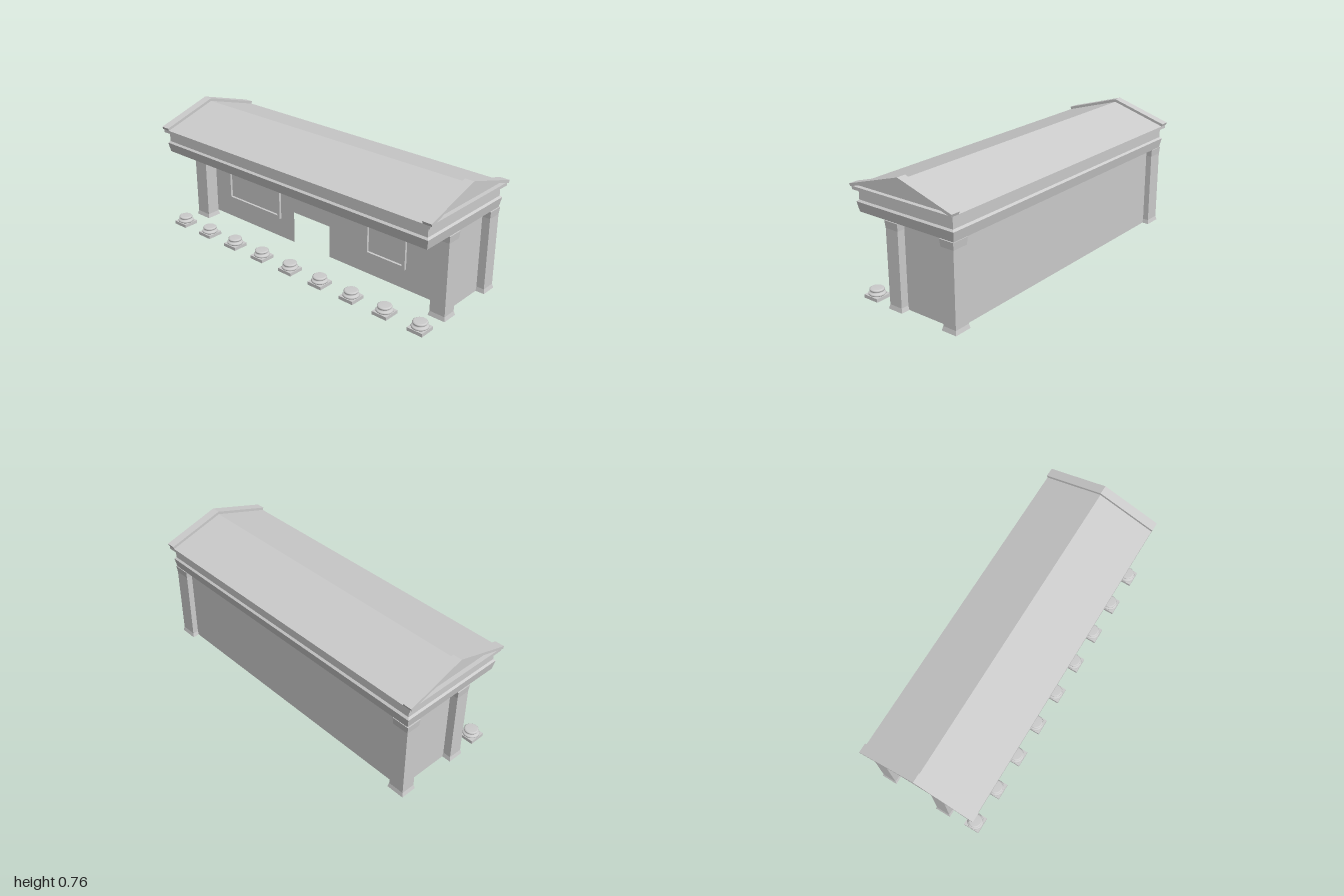
import * as THREE from 'three';

const mat = new THREE.MeshStandardMaterial({ color: 0xcccccc, side: THREE.DoubleSide });

function add(parent, name, geometry, x = 0, y = 0, z = 0) {
  const mesh = new THREE.Mesh(geometry, mat);
  mesh.name = name;
  mesh.position.set(x, y, z);
  parent.add(mesh);
  return mesh;
}

// Closed stack of rectangles; rows are [y, halfX, halfZ] from bottom to top
function rectStack(rows) {
  const pos = [];
  const ring = ([y, a, b]) => [[-a, y, b], [a, y, b], [a, y, -b], [-a, y, -b]];
  const quad = (a, b, c, d) => pos.push(...a, ...b, ...c, ...a, ...c, ...d);
  for (let i = 0; i < rows.length - 1; i++) {
    const lo = ring(rows[i]), hi = ring(rows[i + 1]);
    for (let k = 0; k < 4; k++) {
      const n = (k + 1) % 4;
      quad(lo[k], lo[n], hi[n], hi[k]);
    }
  }
  const bottom = ring(rows[0]), top = ring(rows[rows.length - 1]);
  quad(bottom[3], bottom[2], bottom[1], bottom[0]);
  quad(...top);
  const g = new THREE.BufferGeometry();
  g.setAttribute('position', new THREE.Float32BufferAttribute(pos, 3));
  g.computeVertexNormals();
  return g;
}

// Outline in z and y, extruded along x and centred on x = 0
function alongX(points, length) {
  const shape = new THREE.Shape(points.map(p => new THREE.Vector2(...p)));
  return new THREE.ExtrudeGeometry(shape, { depth: length, bevelEnabled: false })
    .translate(0, 0, -length / 2)
    .rotateY(Math.PI / 2);
}

function wall(parent, name, x0, x1, z) {
  add(parent, name, new THREE.PlaneGeometry(x1 - x0, 0.497), (x0 + x1) / 2, 0.2485, z);
}

// Raised rectangular frame on the front wall
function panelFrame(parent, x0, x1, y0, y1, z) {
  const rect = (P, inset) => {
    const p = new P();
    p.moveTo(x0 + inset, y0 + inset);
    p.lineTo(x1 - inset, y0 + inset);
    p.lineTo(x1 - inset, y1 - inset);
    p.lineTo(x0 + inset, y1 - inset);
    p.closePath();
    return p;
  };
  const shape = rect(THREE.Shape, 0);
  shape.holes.push(rect(THREE.Path, 0.02));
  add(parent, 'windowFrame',
    new THREE.ExtrudeGeometry(shape, { depth: 0.015, bevelEnabled: false }), 0, 0, z);
}

// Round moulded base on a square plinth
function columnBase(parent, x, z) {
  const base = new THREE.Group();
  base.name = 'columnBase';
  base.position.set(x, 0, z);
  add(base, 'plinth', new THREE.BoxGeometry(0.097, 0.02, 0.097), 0, 0.01, 0);
  const profile = [[0, 0.02], [0.044, 0.02]];
  const bulge = (r, y, h) => {
    for (let i = 0; i <= 6; i++) {
      const a = -Math.PI / 2 + (Math.PI * i) / 6;
      profile.push([r + h * Math.cos(a), y + h * Math.sin(a)]);
    }
  };
  bulge(0.041, 0.027, 0.007);
  profile.push([0.037, 0.036], [0.035, 0.039], [0.035, 0.042], [0.036, 0.044]);
  bulge(0.0355, 0.05, 0.006);
  profile.push([0.034, 0.058], [0, 0.058]);
  add(base, 'moulding',
    new THREE.LatheGeometry(profile.map(p => new THREE.Vector2(...p)), 28));
  parent.add(base);
}

export function createModel() {
  const model = new THREE.Group();
  model.name = 'colonnadeBuilding';

  // Row of column bases along the front
  for (let i = 0; i < 9; i++) columnBase(model, -0.92 + i * 0.23, 0.285);

  // Corner piers flaring at foot and head
  const pier = rectStack([
    [0, 0.054, 0.048], [0.025, 0.048, 0.042],
    [0.455, 0.048, 0.042], [0.497, 0.052, 0.046],
  ]);
  for (const x of [-0.92, 0.92]) {
    add(model, 'frontPier', pier, x, 0, 0.093);
    add(model, 'backPier', pier, x, 0, -0.284);
    // Recessed end wall between the piers
    add(model, 'sideWall', new THREE.PlaneGeometry(0.38, 0.497).rotateY(Math.sign(x) * Math.PI / 2),
      x, 0.2485, -0.1);
  }

  // Thin walls, with a full-height doorway in the front one
  const wallZ = 0.01;
  wall(model, 'frontWallLeft', 0.06, 0.92, wallZ);
  wall(model, 'frontWallRight', -0.92, -0.225, wallZ);
  wall(model, 'backWall', -0.92, 0.92, -0.29);
  panelFrame(model, -0.79, -0.335, 0.125, 0.44, wallZ);
  panelFrame(model, 0.335, 0.62, 0.125, 0.44, wallZ);

  // Architrave, frieze and cornice
  add(model, 'entablature', rectStack([
    [0.497, 0.965, 0.326], [0.553, 0.975, 0.336], [0.563, 0.965, 0.325],
    [0.622, 0.965, 0.325], [0.622, 0.99, 0.347], [0.64, 0.99, 0.347],
  ]));

  // Roof, whose ends form the recessed gable faces
  add(model, 'roof', alongX([[-0.347, 0.64], [0.347, 0.64], [0, 0.745]], 1.93));

  // Raking bands at both ends
  const band = alongX([
    [-0.352, 0.655], [-0.347, 0.64], [0, 0.745],
    [0.347, 0.64], [0.352, 0.655], [0, 0.762],
  ], 0.055);
  for (const x of [-0.9725, 0.9725]) add(model, 'gableBand', band, x);

  return model;
}
